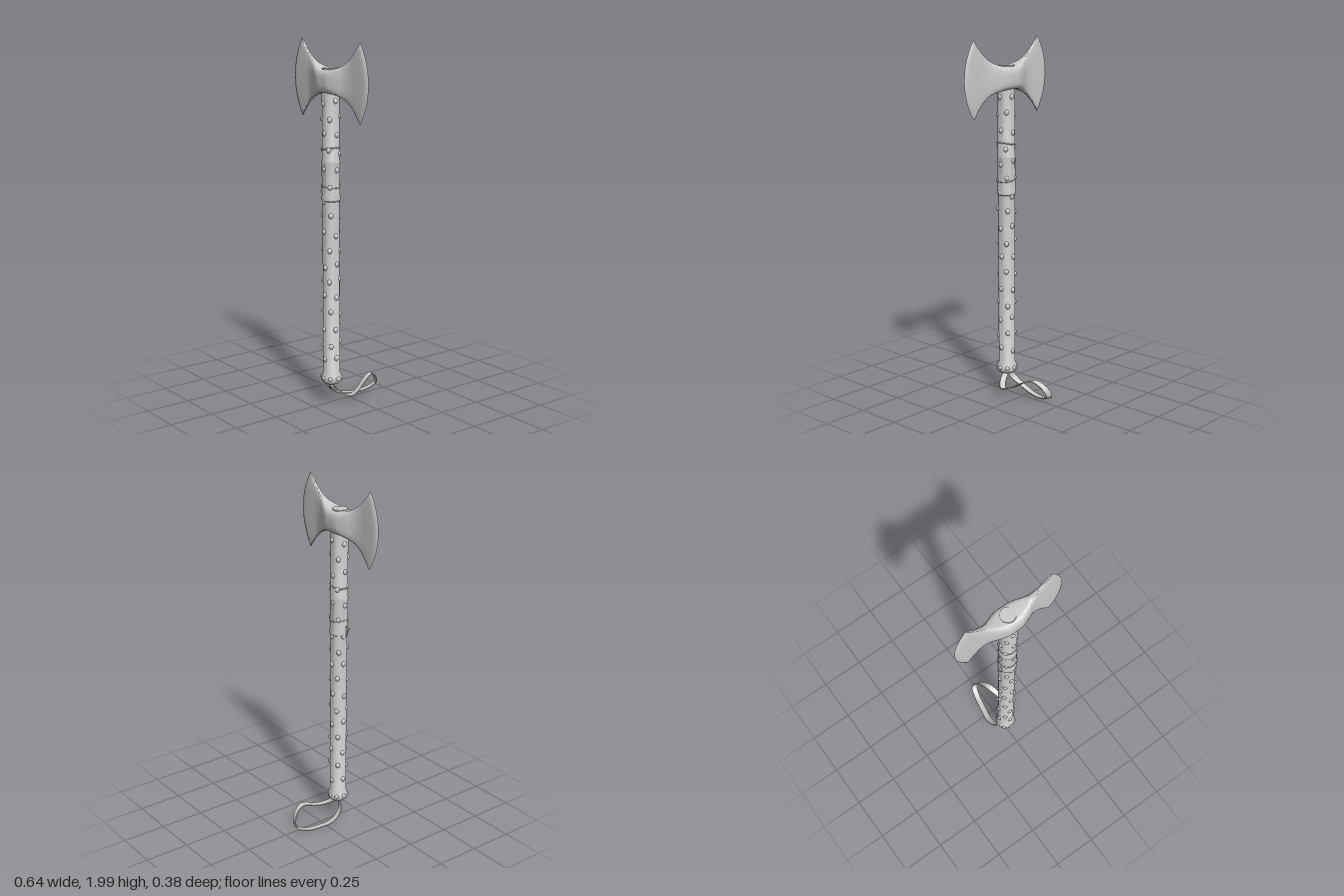
import * as THREE from 'three';
import { toCreasedNormals } from 'three/addons/utils/BufferGeometryUtils.js';

const material = new THREE.MeshStandardMaterial({ color: 0xcccccc });
const AXIS_Z = 0.125; // the handle stands forward of the wrist loop

function addMesh(parent, name, geometry, x = 0, y = 0, z = 0) {
  const mesh = new THREE.Mesh(geometry, material);
  mesh.name = name;
  mesh.position.set(x, y, z);
  parent.add(mesh);
  return mesh;
}

// Skin a row of closed rings of points
function loft(rings) {
  const n = rings[0].length;
  const index = [];
  for (let i = 0; i < rings.length - 1; i++) {
    for (let j = 0; j < n; j++) {
      const a = i * n + j, b = i * n + (j + 1) % n;
      index.push(a, a + n, b, b, a + n, b + n);
    }
  }
  const geometry = new THREE.BufferGeometry().setFromPoints(rings.flat());
  geometry.setIndex(index);
  geometry.computeVertexNormals();
  return geometry;
}

// Double blade: rounded sections from edge to edge, bulging into curved cutting edges
function headGeometry() {
  // x, top, bottom, half thickness, bulge of the section along x
  const half = [
    [0, 1.85, 1.725, 0.064, 0],
    [0.045, 1.852, 1.724, 0.062, 0],
    [0.09, 1.863, 1.715, 0.045, 0],
    [0.13, 1.881, 1.70, 0.024, 0.006],
    [0.17, 1.91, 1.675, 0.014, 0.016],
    [0.21, 1.95, 1.637, 0.0125, 0.036],
    [0.24, 1.986, 1.596, 0.010, 0.058],
    [0.25, 2.0, 1.58, 0.001, 0.07],
  ];
  const mirrored = half.slice(1).reverse().map(([x, t, b, h, k]) => [-x, t, b, h, -k]);
  const stations = [...mirrored, ...half];
  const outline = new THREE.CatmullRomCurve3(
    stations.map(s => new THREE.Vector3(s[0], s[1], s[2])), false, 'catmullrom');
  const body = new THREE.CatmullRomCurve3(
    stations.map(s => new THREE.Vector3(s[3], s[4], 0)), false, 'catmullrom');
  const power = (v, p) => Math.sign(v) * Math.abs(v) ** p;
  const rings = [];
  for (let i = 0; i <= 84; i++) {
    const o = outline.getPoint(i / 84), b = body.getPoint(i / 84);
    const ring = [];
    for (let j = 0; j < 48; j++) {
      const a = j / 48 * Math.PI * 2;
      const s = power(Math.sin(a), 0.65);
      ring.push(new THREE.Vector3(
        o.x + b.y * (1 - s * s),
        (o.y + o.z) / 2 + s * (o.y - o.z) / 2,
        b.x * power(Math.cos(a), 0.4)));
    }
    rings.push(ring);
  }
  return toCreasedNormals(loft(rings), 0.9);
}

// Flat ribbon looping from the butt of the handle and back
function strapGeometry() {
  const path = new THREE.CatmullRomCurve3([
    [0, 0.135, 0.125], [-0.045, 0.075, 0.105], [-0.06, 0.03, 0.04],
    [-0.045, 0.013, -0.05], [-0.03, 0.018, -0.13], [-0.012, 0.045, -0.183],
    [0.012, 0.09, -0.175], [0.038, 0.13, -0.12], [0.065, 0.112, -0.05],
    [0.085, 0.078, 0.01], [0.09, 0.06, 0.07], [0.05, 0.085, 0.11], [0, 0.135, 0.125],
  ].map(p => new THREE.Vector3(...p)));
  const rings = [];
  for (let i = 0; i <= 120; i++) {
    const u = i / 120;
    const p = path.getPointAt(u), t = path.getTangentAt(u);
    const w = new THREE.Vector3(1, 0, 0.3);
    w.addScaledVector(t, -w.dot(t)).normalize();
    const n = new THREE.Vector3().crossVectors(t, w);
    rings.push([[-1, 1], [1, 1], [1, -1], [-1, -1]].map(([a, b]) =>
      p.clone().addScaledVector(w, a * 0.016).addScaledVector(n, b * 0.003)));
  }
  return toCreasedNormals(loft(rings), 0.7);
}

export function createModel() {
  const model = new THREE.Group();
  model.name = 'doubleAxe';

  const axe = new THREE.Group();
  axe.name = 'axe';
  axe.position.z = AXIS_Z;
  model.add(axe);

  addMesh(axe, 'head', headGeometry());
  addMesh(axe, 'eyePlug', new THREE.CylinderGeometry(0.041, 0.044, 0.03, 32), -0.005, 1.84);

  // Handle with a slightly thicker wrapped upper part and a collar at the butt
  const profile = [
    [0, 0.125], [0.042, 0.125], [0.054, 0.135], [0.057, 0.15], [0.054, 0.17], [0.046, 0.185],
    [0.046, 1.148], [0.051, 1.152], [0.052, 1.165], [0.049, 1.18], [0.049, 1.35],
    [0.051, 1.358], [0.047, 1.368], [0.047, 1.80],
  ].map(p => new THREE.Vector2(...p));
  addMesh(axe, 'handle', toCreasedNormals(new THREE.LatheGeometry(profile, 32), 0.8));

  // Staggered studs up the handle
  const studs = new THREE.Group();
  studs.name = 'studs';
  axe.add(studs);
  const studGeometry = new THREE.SphereGeometry(0.013, 10, 8);
  for (let row = 0; row < 17; row++) {
    for (let k = 0; k < 4; k++) {
      const a = (k + (row % 2) / 2) * Math.PI / 2 + Math.sin(row * 2.3) * 0.12;
      const y = 0.265 + row * 0.0885 + Math.sin(row * 5 + k * 2.1) * 0.012;
      const stud = addMesh(studs, 'stud', studGeometry, Math.sin(a) * 0.044, y, Math.cos(a) * 0.044);
      stud.rotation.y = a;
      stud.scale.set(1, 1.25, 0.85);
    }
  }
  for (let k = 0; k < 8; k++) {
    const a = k * Math.PI / 4;
    addMesh(studs, 'collarStud', studGeometry, Math.sin(a) * 0.05, 0.157, Math.cos(a) * 0.05);
  }

  // Slanted cord turns on the wrapped part, with a small knot
  [1.23, 1.43].forEach((y, i) => {
    const cord = addMesh(axe, 'wrapCord', new THREE.TorusGeometry(0.0475, 0.004, 8, 32), 0, y);
    cord.rotation.set(Math.PI / 2, i ? 0.2 : -0.15, 0);
  });
  const knot = addMesh(axe, 'wrapKnot', new THREE.TorusGeometry(0.01, 0.005, 8, 16), -0.052, 1.19, 0.015);
  knot.rotation.y = 0.5;
  addMesh(axe, 'wrapTail', new THREE.CapsuleGeometry(0.005, 0.03, 4, 8), -0.05, 1.165, 0.015);

  // Wrist loop and the knot it hangs from
  addMesh(axe, 'strapKnot', new THREE.CylinderGeometry(0.022, 0.014, 0.03, 16), 0, 0.115);
  addMesh(model, 'wristStrap', strapGeometry());

  return model;
}
